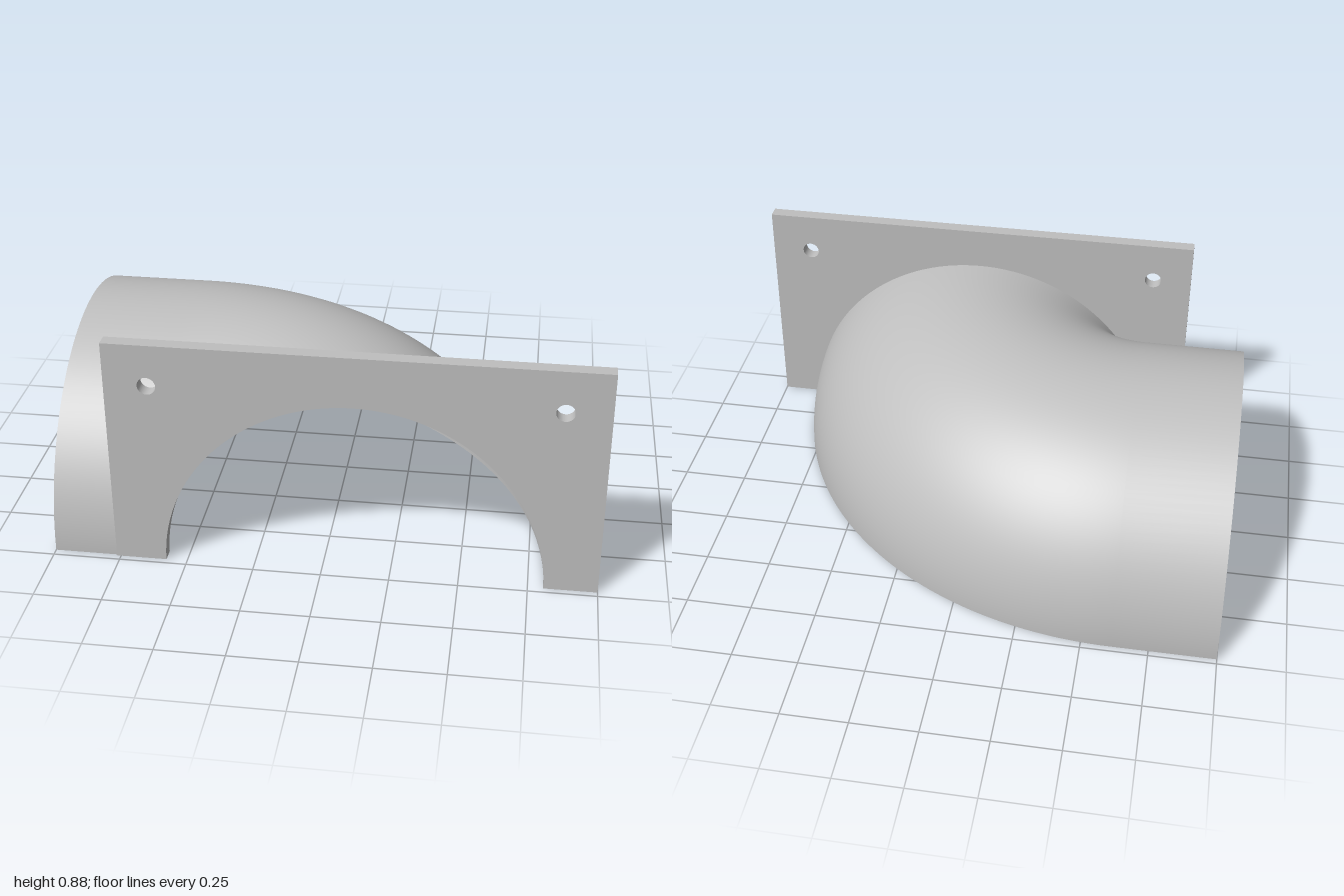
import * as THREE from 'three';

const OUTER = 0.724, INNER = 0.694;      // pipe radii
const BEND = 0.725, BX = -0.611, BZ = 0.722; // bend radius and pivot
const ARCH_X = BX + BEND;                // mouth centre
const T = 64, STEPS = 64;

// Stations along the pipe: straight inlet, then a quarter bend
const stations = [{ x: -1, a: 0 }];
for (let i = 0; i <= STEPS; i++) stations.push({ x: BX, a: (i / STEPS) * Math.PI / 2 });

function place(s, r, t) {
  const d = BEND + r * Math.cos(t);
  return [s.x + d * Math.sin(s.a), r * Math.sin(t), BZ - d * Math.cos(s.a)];
}

// Sweeps a row of section points [radius, angle] along the stations
function sweep(section, normalAt) {
  const pos = [], nor = [], idx = [], n = section.length;
  stations.forEach((s, i) => {
    section.forEach(([r, t], j) => {
      pos.push(...place(s, r, t));
      nor.push(...normalAt(s, t));
      if (i < stations.length - 1 && j < n - 1) {
        const a = i * n + j, b = a + 1, c = a + n, d = c + 1;
        idx.push(a, b, c, b, d, c);
      }
    });
  });
  const g = new THREE.BufferGeometry();
  g.setAttribute('position', new THREE.Float32BufferAttribute(pos, 3));
  g.setAttribute('normal', new THREE.Float32BufferAttribute(nor, 3));
  g.setIndex(idx);
  return g;
}

export function createModel() {
  const group = new THREE.Group();
  const grey = new THREE.MeshStandardMaterial({ color: 0xbfbfbf });
  grey.name = 'light grey';
  const add = (name, geometry, parent = group) => {
    const m = new THREE.Mesh(geometry, grey);
    m.name = name;
    parent.add(m);
    return m;
  };

  // Half-pipe elbow
  const elbow = new THREE.Group();
  elbow.name = 'halfPipeElbow';
  group.add(elbow);
  const radial = sign => (s, t) => [
    sign * Math.cos(t) * Math.sin(s.a), sign * Math.sin(t), -sign * Math.cos(t) * Math.cos(s.a)];
  const down = () => [0, -1, 0];
  const arc = Array.from({ length: T + 1 }, (_, j) => (j / T) * Math.PI);
  add('outerWall', sweep(arc.map(t => [OUTER, t]), radial(1)), elbow);
  add('innerWall', sweep(arc.map(t => [INNER, Math.PI - t]), radial(-1)), elbow);
  add('innerBendRim', sweep([[OUTER, Math.PI], [INNER, Math.PI]], down), elbow);
  add('outerBendRim', sweep([[INNER, 0], [OUTER, 0]], down), elbow);
  const end = add('inletRim', new THREE.RingGeometry(INNER, OUTER, T, 1, 0, Math.PI), elbow);
  end.rotation.y = -Math.PI / 2;
  end.position.set(-1, 0, BZ - BEND);

  // Mounting plate with arched mouth and two screw holes
  const r = 0.692;
  const shape = new THREE.Shape();
  shape.moveTo(ARCH_X + r, 0);
  shape.lineTo(1, 0);
  shape.lineTo(1, 0.885);
  shape.lineTo(-0.765, 0.885);
  shape.lineTo(-0.765, 0);
  shape.lineTo(ARCH_X - r, 0);
  shape.absarc(ARCH_X, 0, r, Math.PI, 0, true);
  for (const x of [-0.61, 0.84]) {
    const hole = new THREE.Path();
    hole.absarc(x, 0.727, 0.033, 0, Math.PI * 2, true);
    shape.holes.push(hole);
  }
  const plate = add('mountingPlate',
    new THREE.ExtrudeGeometry(shape, { depth: 0.052, bevelEnabled: false, curveSegments: 48 }));
  plate.position.z = 0.675;

  return group;
}
